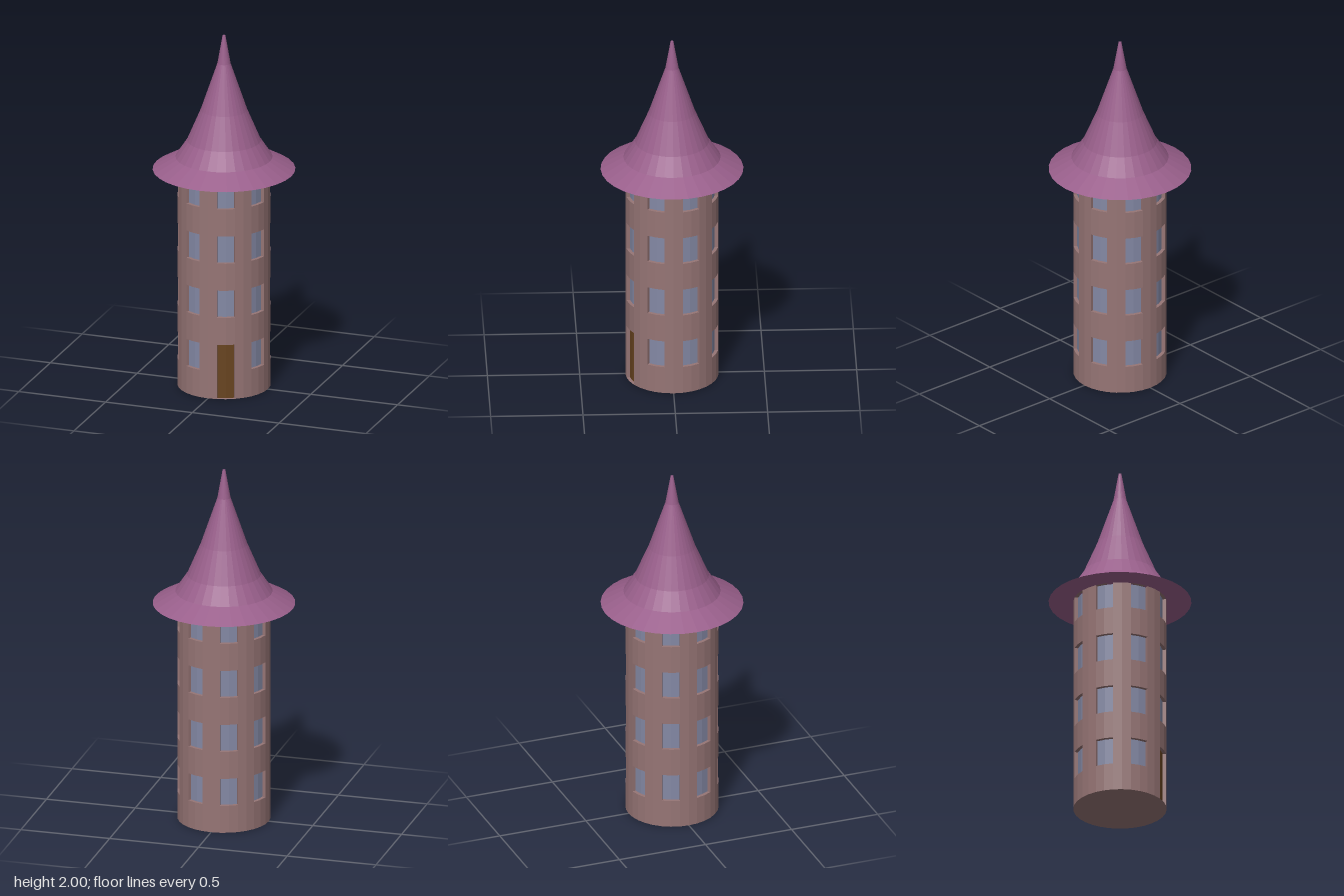
import * as THREE from 'three';

const SIDES = 32;
const R = 0.253;        // wall radius
const INNER = 0.234;    // radius of recessed glass and door
const FLOOR = 0.1555;   // window height, also the gap between windows
const EAVE = 1.235;

const P = (i, r, y) => {
  const t = (i / SIDES) * Math.PI * 2;
  return [r * Math.sin(t), y, r * Math.cos(t)];
};

// Gathers four-cornered faces (counter-clockwise from outside)
class Quads {
  constructor() { this.pos = []; }
  add(a, b, c, d) { this.pos.push(...a, ...b, ...c, ...a, ...c, ...d); }
  // Faceted outward-facing strip of a cylinder
  strip(i0, i1, r, y0, y1) {
    for (let i = i0; i < i1; i++) {
      this.add(P(i, r, y0), P(i + 1, r, y0), P(i + 1, r, y1), P(i, r, y1));
    }
  }
  // Sides, sill and head of a recessed opening
  reveal(i0, i1, y0, y1) {
    this.add(P(i0, R, y0), P(i0, INNER, y0), P(i0, INNER, y1), P(i0, R, y1));
    this.add(P(i1, INNER, y0), P(i1, R, y0), P(i1, R, y1), P(i1, INNER, y1));
    for (let i = i0; i < i1; i++) {
      this.add(P(i, R, y0), P(i + 1, R, y0), P(i + 1, INNER, y0), P(i, INNER, y0));
      this.add(P(i, INNER, y1), P(i + 1, INNER, y1), P(i + 1, R, y1), P(i, R, y1));
    }
  }
  mesh(name, color) {
    const g = new THREE.BufferGeometry();
    g.setAttribute('position', new THREE.Float32BufferAttribute(this.pos, 3));
    g.computeVertexNormals();
    return makeMesh(name, g, color);
  }
}

function makeMesh(name, geometry, color) {
  const m = new THREE.Mesh(geometry, new THREE.MeshStandardMaterial({ color, flatShading: true }));
  m.name = name;
  return m;
}

export function createModel() {
  const tower = new THREE.Group();
  tower.name = 'tower';
  const wallColor = 0x967575;
  const wall = new Quads(), glass = new Quads(), door = new Quads();

  // Eight bays, each with a solid pier and a column of openings
  for (let bay = 0; bay < 8; bay++) {
    const i0 = bay * 4 + 1, i1 = i0 + 2;
    wall.strip(i1, i1 + 2, R, 0, EAVE);
    for (let floor = 0; floor < 4; floor++) {
      const base = floor * 2 * FLOOR;
      const isDoor = bay === 0 && floor === 0;
      const y0 = isDoor ? 0 : base + FLOOR;
      const y1 = Math.min(base + 2 * FLOOR, EAVE);
      if (!isDoor) wall.strip(i0, i1, R, base, y0);
      wall.reveal(i0, i1, y0, y1);
      (isDoor ? door : glass).strip(i0, i1, INNER, y0, y1);
    }
  }
  tower.add(wall.mesh('wall', wallColor));
  tower.add(glass.mesh('windows', 0x8489a5));
  tower.add(door.mesh('door', 0x68441f));

  // Underside
  const base = new THREE.CircleGeometry(R, SIDES).rotateX(Math.PI / 2);
  tower.add(makeMesh('base', base, wallColor));

  // Flared pointed roof with a flat underside
  const profile = [
    [0, EAVE], [0.387, EAVE], [0.263, 1.305], [0.2, 1.4],
    [0.126, 1.575], [0.036, 1.84], [0.008, 2], [0, 2],
  ].map(([x, y]) => new THREE.Vector2(x, y));
  tower.add(makeMesh('roof', new THREE.LatheGeometry(profile, SIDES), 0x995f8b));

  return tower;
}
